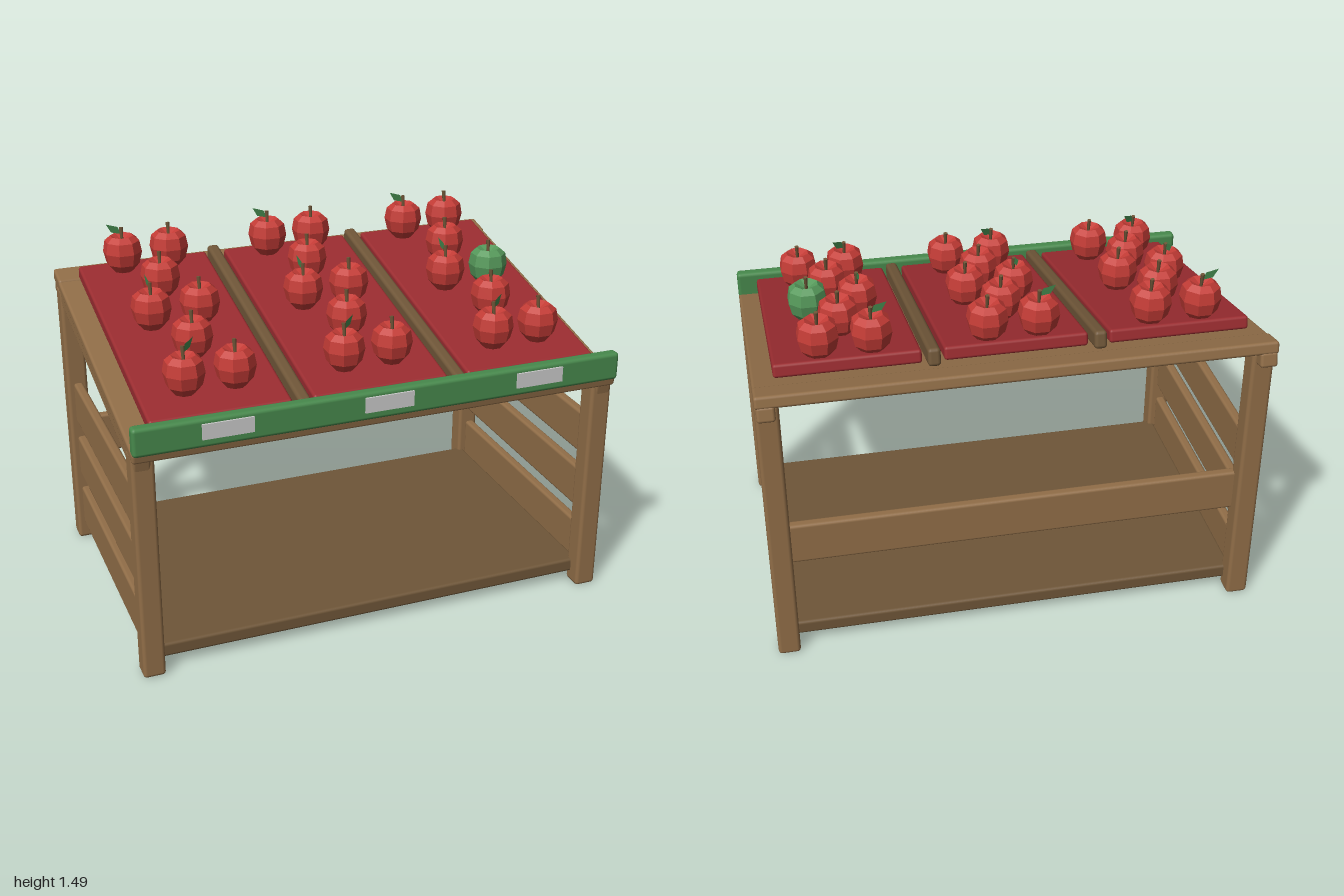
import * as THREE from 'three';
import { RoundedBoxGeometry } from 'three/addons/geometries/RoundedBoxGeometry.js';

export function createModel() {
  const mat = (name, color, side = THREE.FrontSide) => {
    const m = new THREE.MeshStandardMaterial({ color, side });
    m.name = name;
    return m;
  };
  const wood = mat('wood', 0x916e48);
  const darkWood = mat('dark wood', 0x6f5638);
  const trayRed = mat('tray red', 0x9a2c30);
  const appleRed = mat('apple red', 0xc43c36);
  const green = mat('painted green', 0x47894c);
  const appleGreen = mat('apple green', 0x55985a);
  const leafGreen = mat('leaf green', 0x3f8048, THREE.DoubleSide);
  const labelGrey = mat('label grey', 0xcacaca);
  for (const m of [appleRed, appleGreen]) m.flatShading = true;

  const model = new THREE.Group();
  model.name = 'fruitStand';

  // Bevelled board given by its extents on each axis
  const board = (parent, name, material, [x0, x1], [y0, y1], [z0, z1], bevel = 0.012) => {
    const geo = new RoundedBoxGeometry(x1 - x0, y1 - y0, z1 - z0, 2, bevel);
    const mesh = new THREE.Mesh(geo, material);
    mesh.name = name;
    mesh.position.set((x0 + x1) / 2, (y0 + y1) / 2, (z0 + z1) / 2);
    parent.add(mesh);
    return mesh;
  };
  const mirrored = (s, a, b) => (s > 0 ? [a, b] : [-b, -a]);

  // Legs and side slats
  for (const s of [-1, 1]) {
    board(model, 'frontLeg', wood, mirrored(s, 0.91, 1), [0, 0.97], [0.535, 0.625], 0.015);
    board(model, 'backLeg', wood, mirrored(s, 0.91, 1), [0, 1.2], [-0.64, -0.55], 0.015);
    for (const y of [0.087, 0.338, 0.594]) {
      board(model, 'sideSlat', wood, mirrored(s, 0.935, 0.975), [y, y + 0.182], [-0.54, 0.526]);
    }
  }
  board(model, 'bottomShelf', darkWood, [-0.94, 0.94], [0.045, 0.105], [-0.58, 0.57]);
  board(model, 'backPlank', wood, [-0.93, 0.93], [0.42, 0.6], [-0.585, -0.543]);

  // Sloping display top; local y = 0 is the upper face of the board
  const slope = Math.atan(0.204);
  const display = new THREE.Group();
  display.name = 'slopingTop';
  display.position.y = 1.12;
  display.rotation.x = slope;
  model.add(display);
  board(display, 'topBoard', wood, [-1, 1], [-0.045, 0], [-0.685, 0.665]);
  board(display, 'backRim', wood, [-1, 1], [-0.04, 0.006], [-0.685, -0.57]);
  for (const s of [-1, 1]) {
    board(display, 'sideRail', wood, mirrored(s, 0.925, 0.995), [-0.098, -0.035], [-0.685, 0.655]);
    board(display, 'divider', darkWood, mirrored(s, 0.295, 0.345), [0.016, 0.088], [-0.592, 0.612], 0.015);
  }
  const trayCentres = [-0.64, 0, 0.64];
  for (const x of trayCentres) {
    board(display, 'tray', trayRed, [x - 0.278, x + 0.278], [0.024, 0.078], [-0.56, 0.588]);
  }

  // Front strip with blank price cards
  board(model, 'frontStrip', green, [-1, 1], [0.978, 1.094], [0.614, 0.664], 0.015);
  for (const x of trayCentres) {
    const card = new THREE.Mesh(new THREE.BoxGeometry(0.2, 0.062, 0.009), labelGrey);
    card.name = 'priceCard';
    card.position.set(x, 1.045, 0.667);
    model.add(card);
  }

  // Apple body, stem and leaf geometries
  const profile = [[0, 0.006], [0.04, 0], [0.07, 0.035], [0.082, 0.085], [0.073, 0.132], [0.048, 0.153], [0, 0.128]];
  const bodyGeo = new THREE.LatheGeometry(profile.map(([r, y]) => new THREE.Vector2(r, y)), 8);
  const stemGeo = new THREE.CylinderGeometry(0.009, 0.006, 0.06, 5);
  const leaf = new THREE.Shape();
  leaf.moveTo(0, 0);
  leaf.lineTo(0.014, 0.032);
  leaf.lineTo(0.062, 0.046);
  leaf.lineTo(0.042, 0.01);
  leaf.closePath();
  const leafGeo = new THREE.ShapeGeometry(leaf);

  const addApple = (x, z, material, leafYaw) => {
    const apple = new THREE.Group();
    apple.name = 'apple';
    apple.position.set(x, 1.198 - 0.2 * z, z);
    const body = new THREE.Mesh(bodyGeo, material);
    body.name = 'appleBody';
    body.rotation.y = Math.PI / 8;
    const stem = new THREE.Mesh(stemGeo, darkWood);
    stem.name = 'stem';
    stem.position.set(0, 0.156, -0.003);
    stem.rotation.x = -0.15;
    apple.add(body, stem);
    if (leafYaw !== null) {
      const blade = new THREE.Mesh(leafGeo, leafGreen);
      blade.name = 'leaf';
      blade.position.set(0, 0.158, -0.003);
      blade.rotation.y = leafYaw;
      apple.add(blade);
    }
    model.add(apple);
  };

  // Rows of two apples with single apples between them
  const rows = [[-0.463, Math.PI - 0.1], [-0.012, Math.PI / 2 + 0.1], [0.445, 0.6]];
  for (const x of trayCentres) {
    rows.forEach(([z, yaw], i) => {
      addApple(x - 0.1, z, appleRed, yaw);
      addApple(x + 0.1, z, i === 1 && x > 0.5 ? appleGreen : appleRed, null);
    });
    for (const z of [-0.237, 0.218]) addApple(x, z, appleRed, null);
  }
  return model;
}
